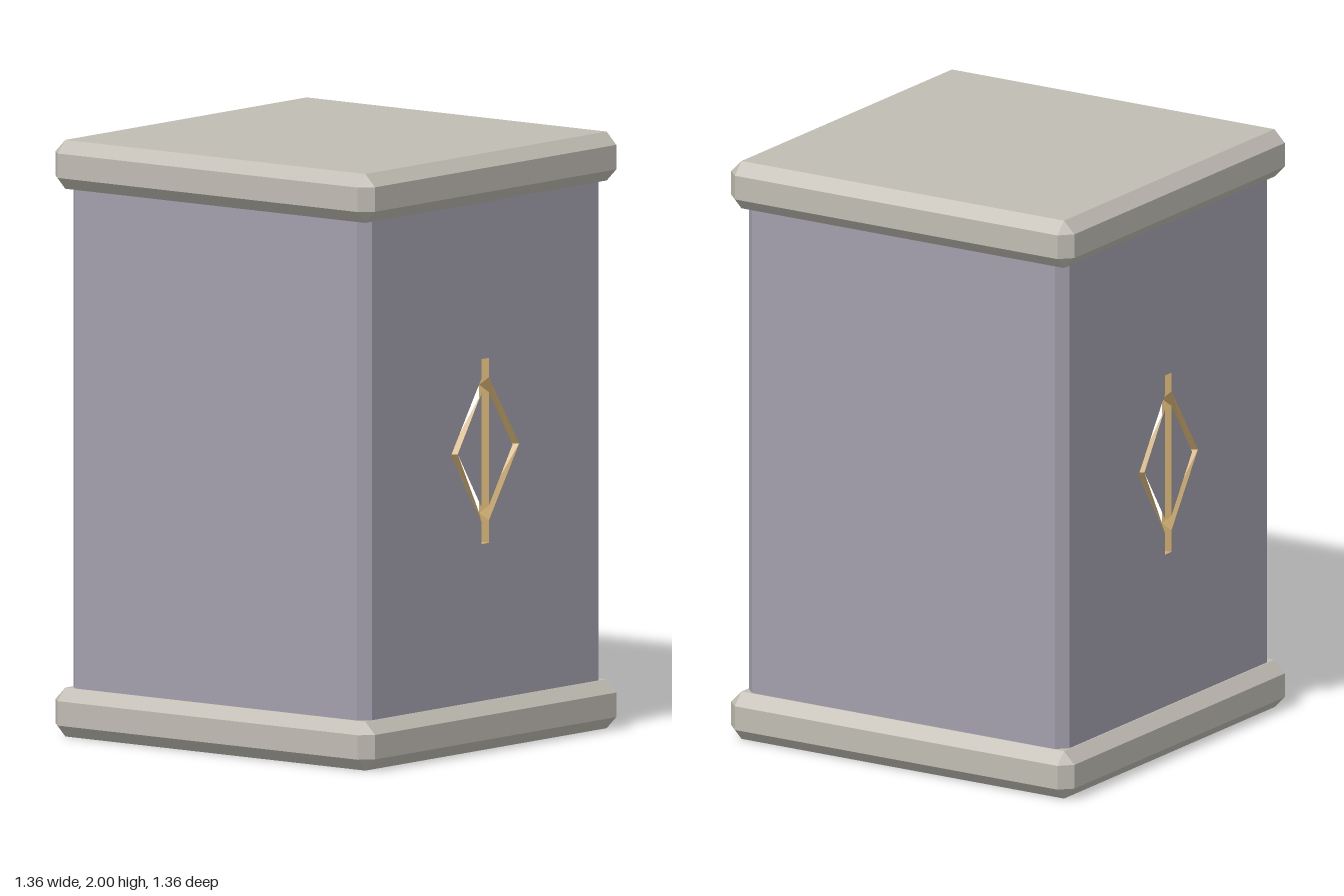
import * as THREE from 'three';
import { ConvexGeometry } from 'three/addons/geometries/ConvexGeometry.js';

const HALF = 0.635, FLAT = 0.6, LOW = 0.15, HIGH = 1.85, DEPTH = 0.025;

function material(name, color) {
  const m = new THREE.MeshStandardMaterial({ color });
  m.name = name;
  return m;
}

function mesh(name, geometry, mat) {
  const m = new THREE.Mesh(geometry, mat);
  m.name = name;
  return m;
}

// Square slab with every edge bevelled
function slabGeometry(half, height, bevel) {
  const points = [];
  const h = height / 2;
  for (const sx of [-1, 1]) for (const sy of [-1, 1]) for (const sz of [-1, 1]) {
    for (let axis = 0; axis < 3; axis++) {
      const p = [half - bevel, h - bevel, half - bevel];
      p[axis] += bevel;
      points.push(new THREE.Vector3(sx * p[0], sy * p[1], sz * p[2]));
    }
  }
  return new ConvexGeometry(points);
}

// Groove outline (right half): outer edge, inner island and valley line
const outer = [[0.02, 1.31], [0.02, 1.245], [0.18, 1.005], [0.02, 0.765], [0.02, 0.69]];
const island = [[0.02, 1.195], [0.145, 1.005], [0.02, 0.815]];
const [vEndTop, vTop, vSide, vBottom, vEndBottom] =
  [[0, 1.305], [0, 1.22], [0.163, 1.005], [0, 0.79], [0, 0.695]].map(([x, y]) => [x, y, -DEPTH]);
const mirror = (p) => [-p[0], ...p.slice(1)];
const toVectors = (pts) => pts.map(([x, y]) => new THREE.Vector2(x, y));

// Flat geometry from convex polygons, all turned to face +z
function facetGeometry(polygons) {
  const positions = [];
  for (const poly of polygons) {
    for (let i = 1; i < poly.length - 1; i++) {
      let [a, b, c] = [poly[0], poly[i], poly[i + 1]]
        .map(([x, y, z = 0]) => new THREE.Vector3(x, y, z));
      const nz = (b.x - a.x) * (c.y - a.y) - (b.y - a.y) * (c.x - a.x);
      if (nz < 0) [b, c] = [c, b];
      for (const v of [a, b, c]) positions.push(v.x, v.y, v.z);
    }
  }
  const g = new THREE.BufferGeometry();
  g.setAttribute('position', new THREE.Float32BufferAttribute(positions, 3));
  g.computeVertexNormals();
  return g;
}

// Body wall carved with a V-shaped diamond groove
function carvedWall(name, bodyMat, goldMat, plainFacet) {
  const group = new THREE.Group();
  group.name = name;

  const wall = new THREE.Shape(toVectors([[-FLAT, LOW], [FLAT, LOW], [FLAT, HIGH], [-FLAT, HIGH]]));
  wall.holes.push(new THREE.Path(toVectors([...outer, ...outer.map(mirror).reverse()])));
  group.add(mesh('wallFace', new THREE.ShapeGeometry(wall), bodyMat));
  group.add(mesh('diamondIslands', facetGeometry([island, island.map(mirror)]), bodyMat));

  const [a, b, c, d, e] = outer;
  const [i1, i2, i3] = island;
  const lowerInner = [i2, i3, vBottom, vSide];
  const half = [
    [a, b, vTop, vEndTop], [b, c, vSide, vTop], [c, d, vBottom, vSide], [d, e, vEndBottom, vBottom],
    [i1, i2, vSide, vTop], [i1, i3, vBottom, vTop],
  ];
  const gold = [
    ...half, ...half.map((poly) => poly.map(mirror)), lowerInner.map(mirror),
    [a, mirror(a), vEndTop], [e, mirror(e), vEndBottom],
  ];
  if (plainFacet) group.add(mesh('plainGrooveFacet', facetGeometry([lowerInner]), bodyMat));
  else gold.push(lowerInner);
  group.add(mesh('goldGroove', facetGeometry(gold), goldMat));

  group.children.forEach((child) => { child.position.z = HALF; });
  return group;
}

export function createModel() {
  const stone = material('stone', 0xc0bcb3);
  const purple = material('greyPurple', 0xa39fad);
  const gold = material('gold', 0xd0ae70);
  const model = new THREE.Group();
  model.name = 'pedestal';

  // Base and cap slabs
  const slab = slabGeometry(0.68, 0.164, 0.041);
  for (const [name, y] of [['base', 0.082], ['cap', 1.918]]) {
    const m = mesh(name, slab, stone);
    m.position.y = y;
    model.add(m);
  }

  // Front and back walls with the inlaid groove
  model.add(carvedWall('frontWall', purple, gold, false));
  const back = carvedWall('backWall', purple, gold, true);
  back.rotation.y = Math.PI;
  model.add(back);

  // Plain side walls and the four chamfered corners
  const panel = (name, width, distance, angle) => {
    const g = new THREE.PlaneGeometry(width, HIGH - LOW);
    g.translate(0, (HIGH + LOW) / 2, distance).rotateY(angle);
    model.add(mesh(name, g, purple));
  };
  panel('leftWall', FLAT * 2, HALF, Math.PI / 2);
  panel('rightWall', FLAT * 2, HALF, -Math.PI / 2);
  for (let i = 0; i < 4; i++) {
    panel('cornerChamfer', (HALF - FLAT) * Math.SQRT2, (HALF + FLAT) / Math.SQRT2, Math.PI / 4 + i * Math.PI / 2);
  }
  return model;
}
